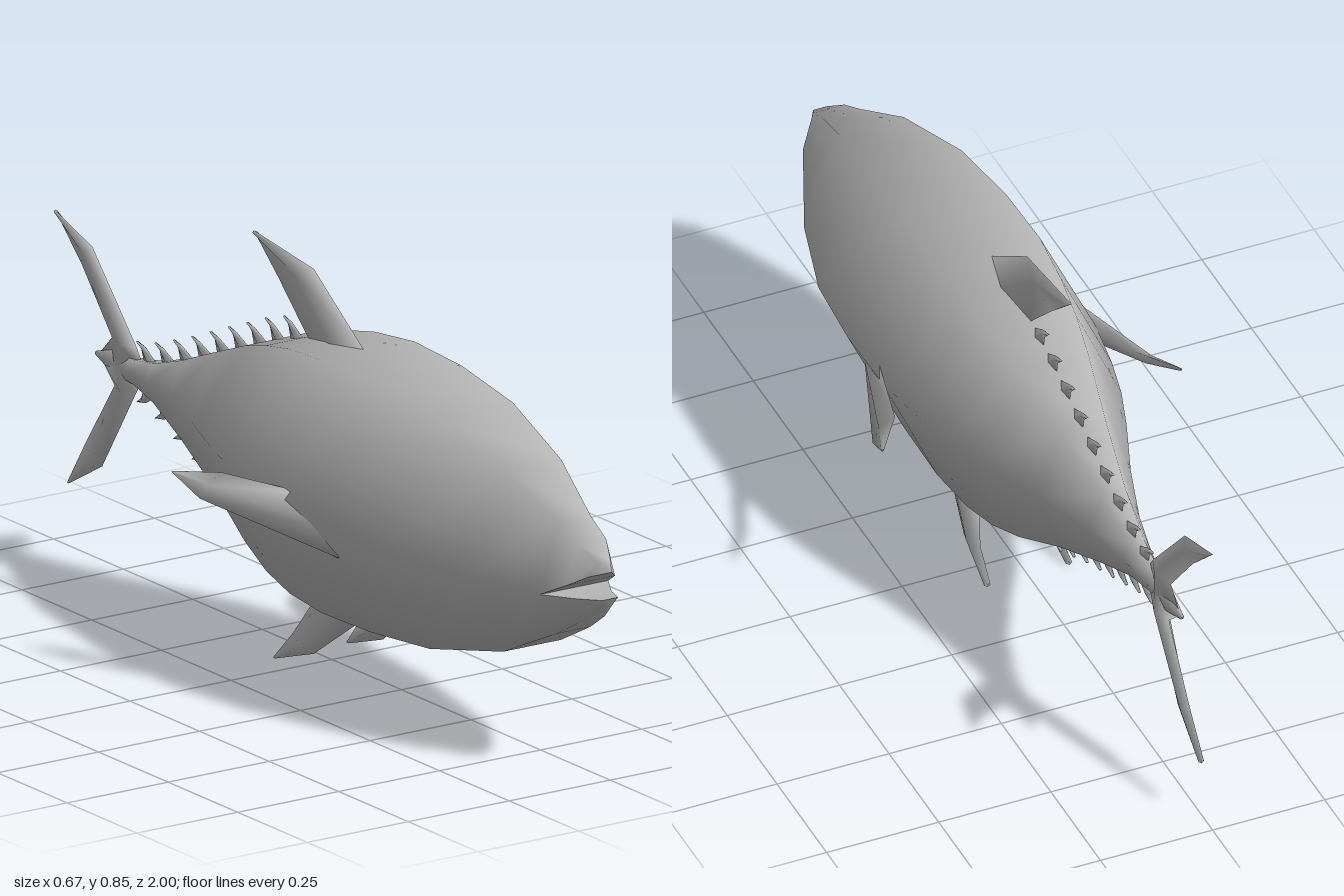
import * as THREE from 'three';
import { mergeGeometries, mergeVertices } from 'three/addons/utils/BufferGeometryUtils.js';

const V = (x, y, z) => new THREE.Vector3(x, y, z);

// Skin a list of equal-length rings; closed wraps around, cap fills both ends
function loft(rings, closed = false, cap = false) {
  const pos = [], idx = [], n = rings[0].length;
  rings.forEach(r => r.forEach(p => pos.push(p.x, p.y, p.z)));
  for (let i = 0; i < rings.length - 1; i++) {
    for (let j = 0; j < (closed ? n : n - 1); j++) {
      const a = i * n + j, b = i * n + (j + 1) % n;
      idx.push(a, a + n, b + n, a, b + n, b);
    }
  }
  if (cap) {
    const e = (rings.length - 1) * n;
    for (let j = 1; j < n - 1; j++) idx.push(0, j, j + 1, e, e + j + 1, e + j);
  }
  const g = new THREE.BufferGeometry();
  g.setAttribute('position', new THREE.Float32BufferAttribute(pos, 3));
  g.setIndex(idx);
  return g;
}

function smooth(parts) {
  const g = mergeVertices(mergeGeometries(parts), 1e-4);
  g.computeVertexNormals();
  return g;
}

// Blade with diamond sections: [lead, trail, half thickness] from root to tip
function fin(sections, normal) {
  const [lead, trail] = sections[0];
  const n = normal.clone().normalize();
  const span = sections[sections.length - 1][0].clone().sub(lead);
  if (lead.clone().sub(trail).cross(n).dot(span) > 0) n.negate();
  return smooth([loft(sections.map(([a, b, t]) => {
    const m = a.clone().lerp(b, 0.45);
    return [a, m.clone().addScaledVector(n, t), b, m.clone().addScaledVector(n, -t)];
  }), true, true)]);
}

// Body stations: z, top, middle, bottom, half width
const stations = [
  [0.87, 0.525, 0.378, 0.287, 0.085],
  [0.72, 0.6, 0.385, 0.215, 0.15],
  [0.5, 0.66, 0.405, 0.17, 0.215],
  [0.3, 0.685, 0.425, 0.157, 0.238],
  [0.13, 0.693, 0.43, 0.153, 0.238],
  [0, 0.682, 0.43, 0.16, 0.218],
  [-0.1, 0.662, 0.43, 0.18, 0.195],
  [-0.2, 0.633, 0.43, 0.215, 0.162],
  [-0.35, 0.575, 0.435, 0.285, 0.105],
  [-0.5, 0.515, 0.437, 0.345, 0.058],
  [-0.62, 0.475, 0.438, 0.392, 0.032],
  [-0.7, 0.462, 0.438, 0.41, 0.022],
  [-0.78, 0.462, 0.438, 0.412, 0.014],
  [-0.845, 0.442, 0.438, 0.434, 0.005],
];

// Height of the back (column 1) or belly (column 3) at a given z
function profile(z, col) {
  const i = stations.findIndex(s => s[0] <= z);
  const a = stations[i - 1], b = stations[i];
  return a[col] + (b[col] - a[col]) * (a[0] - z) / (a[0] - b[0]);
}

export function createModel() {
  const group = new THREE.Group();
  group.name = 'fish';
  const grey = new THREE.MeshStandardMaterial({ color: 0xb8b8b8 });
  grey.name = 'grey skin';
  const add = (name, geometry) => {
    const m = new THREE.Mesh(geometry, grey);
    m.name = name;
    group.add(m);
  };

  // Six-sided body, split at the sides so that the jaws part at the front
  const upper = stations.map(([z, t, m, , w]) =>
    [V(w, m, z), V(w * 0.48, t, z), V(-w * 0.48, t, z), V(-w, m, z)]);
  const lower = stations.map(([z, , m, b, w]) =>
    [V(-w, m, z), V(-w * 0.48, b, z), V(w * 0.48, b, z), V(w, m, z)]);
  upper.unshift(
    [V(0.028, 0.43, 0.965), V(0.015, 0.462, 0.98), V(-0.015, 0.462, 0.98), V(-0.028, 0.43, 0.965)],
    [V(0.06, 0.408, 0.93), V(0.035, 0.492, 0.935), V(-0.035, 0.492, 0.935), V(-0.06, 0.408, 0.93)]);
  lower.unshift(
    [V(-0.02, 0.387, 1), V(-0.012, 0.375, 0.995), V(0.012, 0.375, 0.995), V(0.02, 0.387, 1)],
    [V(-0.045, 0.38, 0.94), V(-0.028, 0.33, 0.94), V(0.028, 0.33, 0.94), V(0.045, 0.38, 0.94)]);
  add('body', smooth([loft(upper, false, true), loft(lower, false, true)]));

  // Inner faces of the open mouth
  const inside = half => smooth([loft(half.slice(0, 3).map(r => [r[3], r[0]]))]);
  add('mouthRoof', inside(upper));
  add('mouthFloor', inside(lower));

  // Fins on the centre line
  const X = V(1, 0, 0);
  add('dorsalFin', fin([
    [V(0, 0.66, 0.14), V(0, 0.62, -0.08), 0.023],
    [V(0, 0.695, 0.11), V(0, 0.665, -0.085), 0.021],
    [V(0, 0.818, -0.065), V(0, 0.765, -0.19), 0.011],
    [V(0, 0.845, -0.28), V(0, 0.838, -0.273), 0.006],
  ], X));
  add('upperTailFin', fin([
    [V(0, 0.44, -0.67), V(0, 0.435, -0.84), 0.018],
    [V(0, 0.485, -0.7), V(0, 0.485, -0.79), 0.016],
    [V(0, 0.66, -0.86), V(0, 0.615, -0.9), 0.009],
    [V(0, 0.705, -0.995), V(0, 0.698, -0.988), 0.005],
  ], X));
  add('lowerTailFin', fin([
    [V(0, 0.435, -0.67), V(0, 0.44, -0.84), 0.018],
    [V(0, 0.385, -0.705), V(0, 0.385, -0.78), 0.016],
    [V(0, 0.2, -0.825), V(0, 0.235, -0.885), 0.009],
    [V(0, 0.133, -0.945), V(0, 0.141, -0.94), 0.006],
  ], X));

  // Rows of finlets along the back and the belly
  for (const [name, col, up] of [['upperFinlet', 1, 1], ['lowerFinlet', 3, -1]]) {
    for (let i = 0; i < 9; i++) {
      const z = -0.09 - i * 0.066, h = 0.042 - i * 0.001;
      const y0 = profile(z, col), y1 = profile(z - 0.055, col);
      add(name, fin([
        [V(0, y0 - up * 0.012, z), V(0, y1 - up * 0.012, z - 0.055), 0.01],
        [V(0, y1 + up * h * 0.85, z - 0.052), V(0, y1 + up * h * 0.6, z - 0.066), 0.006],
        [V(0, y1 + up * h, z - 0.082), V(0, y1 + up * h * 0.95, z - 0.08), 0.003],
      ], X));
    }
  }

  // Paired fins
  for (const [side, s] of [['left', 1], ['right', -1]]) {
    add(side + 'PectoralFin', fin([
      [V(s * 0.195, 0.33, 0.31), V(s * 0.215, 0.45, 0.22), 0.015],
      [V(s * 0.32, 0.398, -0.01), V(s * 0.268, 0.446, -0.005), 0.01],
      [V(s * 0.335, 0.437, -0.09), V(s * 0.33, 0.44, -0.085), 0.003],
    ], V(s * 0.75, 0.6, 0.3)));
    add(side + 'PelvicFin', fin([
      [V(s * 0.06, 0.185, 0.25), V(s * 0.06, 0.185, 0.05), 0.019],
      [V(s * 0.064, 0.152, 0.21), V(s * 0.064, 0.152, 0.035), 0.018],
      [V(s * 0.086, 0.043, 0.06), V(s * 0.084, 0.065, -0.02), 0.011],
      [V(s * 0.091, 0, -0.072), V(s * 0.091, 0.008, -0.068), 0.007],
    ], X));
  }
  return group;
}
